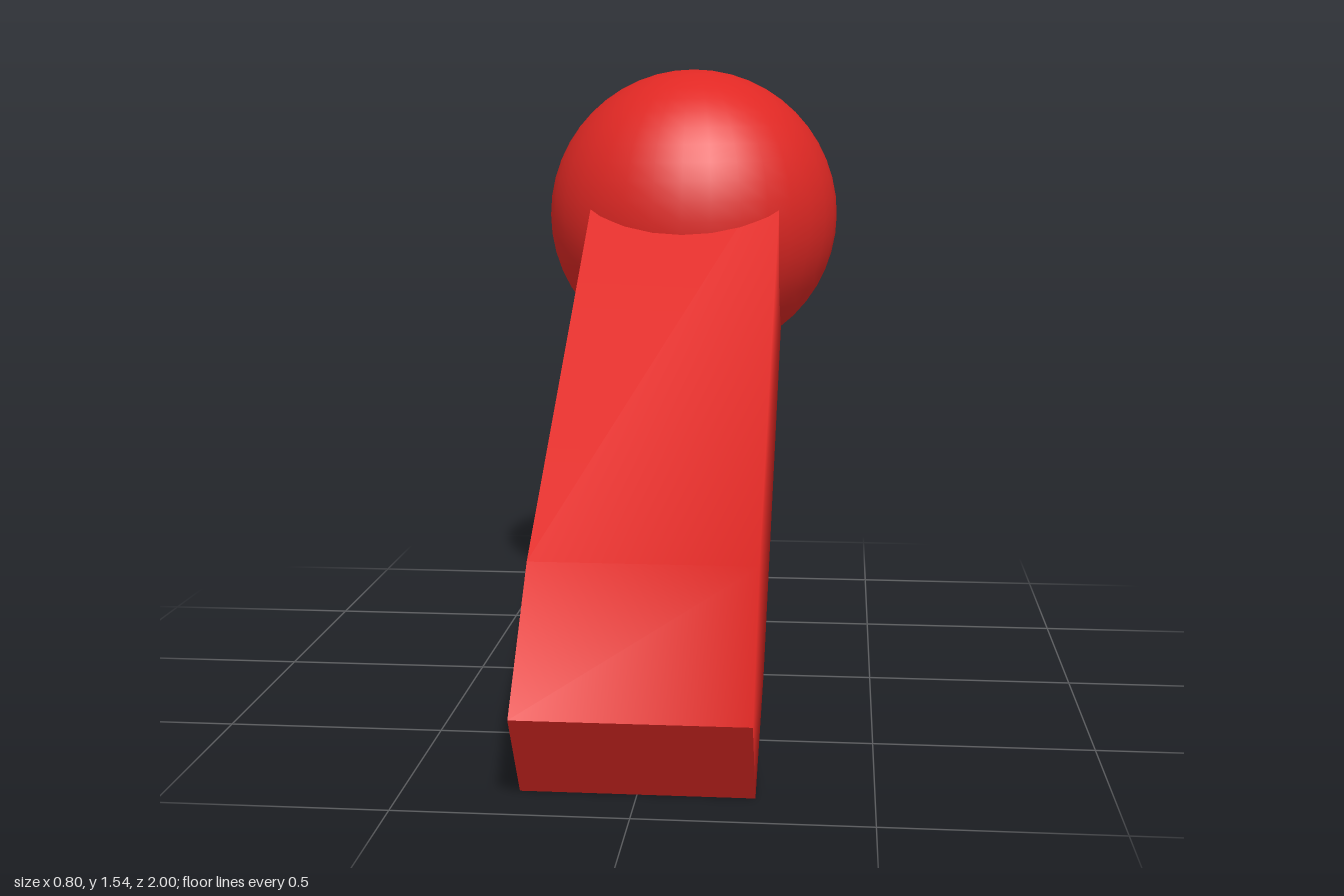
import * as THREE from 'three';

export function createModel() {
  const model = new THREE.Group();
  const red = new THREE.MeshStandardMaterial({ color: 0xe02824 });

  // Round knob at the raised end
  const knob = new THREE.Mesh(new THREE.SphereGeometry(0.4, 32, 24), red);
  knob.name = 'knob';
  knob.position.set(0, 1.145, -0.6);
  model.add(knob);

  // Slanted shaft: three stations [z, y] for the upper and lower edges,
  // from inside the knob down to the tapered tip
  const stations = [
    { upper: [-0.49, 1.305], lower: [-0.71, 0.975] },
    { upper: [0.75, 0.47], lower: [0.49, 0.155] },
    { upper: [1, 0.2], lower: [0.865, 0] },
  ];
  // Square tube with corners at (+-1, +-1), reshaped station by station
  const geometry = new THREE.CylinderGeometry(Math.SQRT2, Math.SQRT2, 2, 4, 2, false, -Math.PI / 4);
  const position = geometry.attributes.position;
  for (let i = 0; i < position.count; i++) {
    const { upper, lower } = stations[Math.round(1 - position.getY(i))];
    const t = (position.getZ(i) + 1) / 2;
    position.setXYZ(
      i,
      position.getX(i) * 0.25,
      THREE.MathUtils.lerp(lower[1], upper[1], t),
      THREE.MathUtils.lerp(lower[0], upper[0], t),
    );
  }
  geometry.computeVertexNormals();
  const shaft = new THREE.Mesh(geometry, red);
  shaft.name = 'leverShaft';
  model.add(shaft);

  return model;
}
